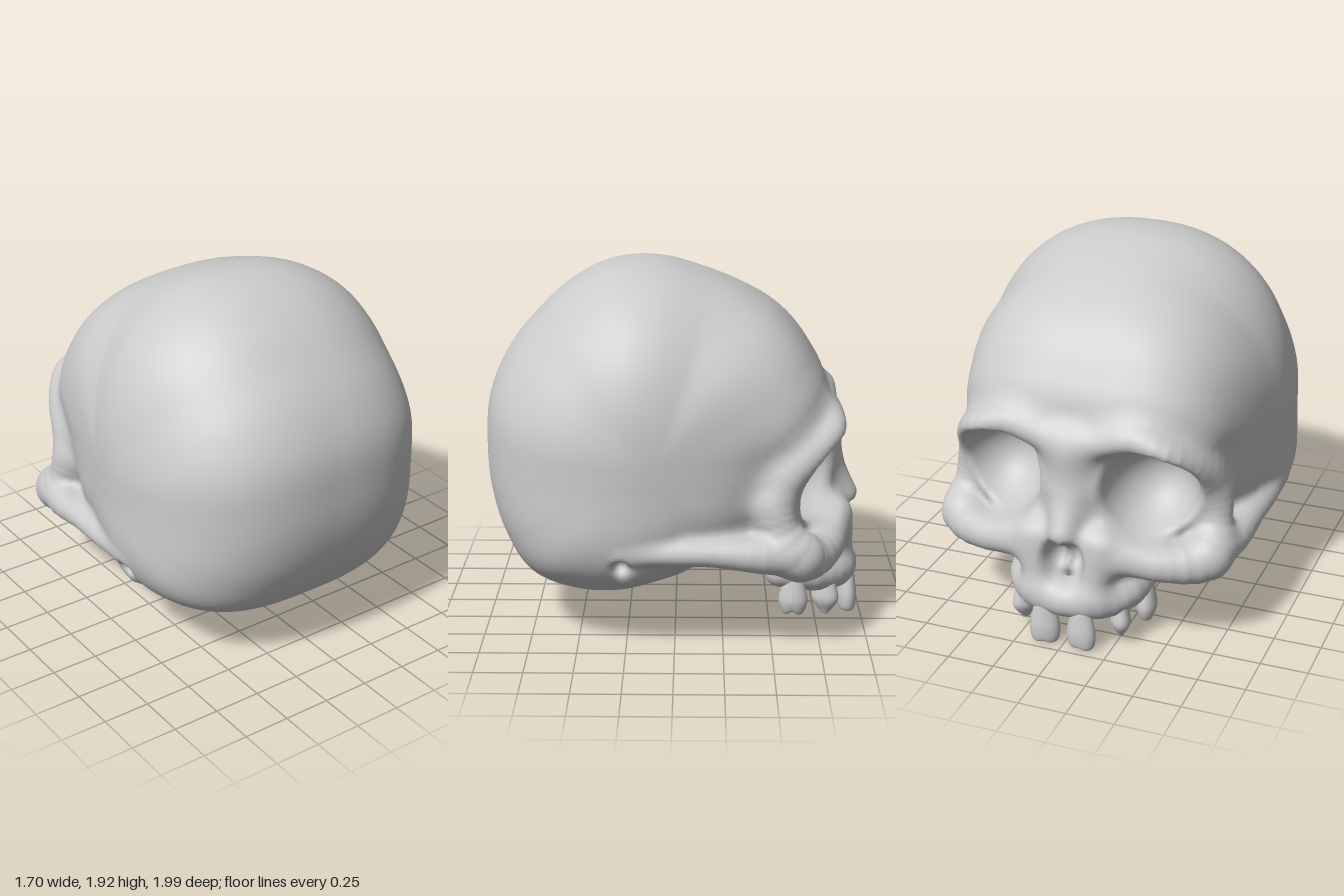
import * as THREE from 'three';

const { smoothstep, clamp, lerp } = THREE.MathUtils;

// Side outline of the braincase: radius every 15 degrees, from the top over the back
const OUTLINE = [0.925, 0.938, 0.92, 0.9, 0.905, 0.91, 0.9, 0.915, 0.94, 0.96, 0.895, 0.815,
  0.74, 0.7, 0.66, 0.68, 0.7, 0.74, 0.8, 0.93, 0.93, 0.92, 0.9, 0.9];

// Bones as chains of [x, y, z, radius], mirrored through x; blend softens the joint
const BONES = {
  temple: { blend: 0.12, chain: [[0.47, 1.08, -0.48, 0.16], [0.52, 0.8, -0.4, 0.14]] },
  templeBase: { blend: 0.1, chain: [[0.6, 0.54, -0.42, 0.1], [0.69, 0.56, -0.08, 0.08]] },
  brow: { blend: 0.14, chain: [[0, 1.08, -0.805, 0.06], [0.16, 1.12, -0.815, 0.055], [0.34, 1.16, -0.82, 0.05],
    [0.5, 1.12, -0.81, 0.055], [0.6, 1.02, -0.7, 0.06], [0.65, 0.9, -0.57, 0.06], [0.665, 0.77, -0.51, 0.06]] },
  cheek: { blend: 0.09, chain: [[0.665, 0.77, -0.51, 0.06], [0.68, 0.65, -0.54, 0.085], [0.665, 0.505, -0.64, 0.125],
    [0.52, 0.49, -0.76, 0.095], [0.3, 0.52, -0.82, 0.09]] },
  arch: { blend: 0.06, chain: [[0.68, 0.52, -0.62, 0.11], [0.745, 0.535, -0.45, 0.09], [0.775, 0.555, -0.2, 0.065],
    [0.795, 0.555, 0.05, 0.05], [0.78, 0.55, 0.26, 0.035]] },
  nose: { blend: 0.12, chain: [[0, 1.08, -0.77, 0.08], [0, 0.86, -0.805, 0.065], [0, 0.65, -0.92, 0.055]] },
  toothPillar: { blend: 0.08, chain: [[0.15, 0.32, -0.875, 0.08], [0.18, 0.58, -0.855, 0.08]] },
  gum: { blend: 0.07, chain: [[0, 0.26, -0.893, 0.095], [0.17, 0.26, -0.855, 0.095], [0.27, 0.28, -0.73, 0.1], [0.3, 0.3, -0.56, 0.09]] },
  ear: { blend: 0.05, chain: [[0.74, 0.46, 0.2, 0.04], [0.72, 0.43, 0.24, 0.05]] },
};

// Each chain rounded into a smooth path
const PATHS = Object.values(BONES).map(({ blend, chain }) => {
  const curve = new THREE.CatmullRomCurve3(chain.map(p => new THREE.Vector3(...p)));
  const last = chain.length - 1, count = last * 3;
  const path = Array.from({ length: count + 1 }, (_, i) => {
    const k = Math.min(last - 1, Math.floor(i / 3));
    return [...curve.getPoint(i / count).toArray(), lerp(chain[k][3], chain[k + 1][3], i / 3 - k)];
  });
  return { blend, path };
});

// Rounded masses as [x, y, z, rx, ry, rz]
const MASSES = [
  [0, 0.85, -0.64, 0.3, 0.33, 0.22],     // between the eye sockets
  [0.38, 0.82, -0.5, 0.28, 0.34, 0.25],  // around the eye socket
  [0, 0.55, -0.62, 0.47, 0.24, 0.3],     // upper jaw
  [0, 0.6, -0.45, 0.32, 0.22, 0.33],     // skull base behind the jaw
];
const HOLLOWS = [
  [0.415, 0.86, -0.82, 0.25, 0.25, 0.36],  // eye socket
  [0.04, 0.49, -0.98, 0.07, 0.11, 0.16],   // nose opening
  [0, 0.17, 0.15, 0.22, 0.11, 0.22],       // hollow under the skull
  [0.8, 0.49, 0.27, 0.05, 0.035, 0.035],   // ear hole
];

// Distance to a tapering rod
function rod(x, y, z, a, b) {
  const bx = b[0] - a[0], by = b[1] - a[1], bz = b[2] - a[2];
  const px = x - a[0], py = y - a[1], pz = z - a[2];
  const t = Math.min(1, Math.max(0, (px * bx + py * by + pz * bz) / (bx * bx + by * by + bz * bz)));
  const dx = px - bx * t, dy = py - by * t, dz = pz - bz * t;
  return Math.sqrt(dx * dx + dy * dy + dz * dz) - (a[3] + (b[3] - a[3]) * t);
}

// Approximate distance to an ellipsoid
function ellipsoid(x, y, z, e) {
  const px = (x - e[0]) / e[3], py = (y - e[1]) / e[4], pz = (z - e[2]) / e[5];
  const k = Math.sqrt(px * px + py * py + pz * pz);
  const qx = px / e[3], qy = py / e[4], qz = pz / e[5];
  return k * (k - 1) / (Math.sqrt(qx * qx + qy * qy + qz * qz) + 1e-6);
}

// Smooth union and smooth cut
function join(a, b, k) {
  const h = Math.max(k - Math.abs(a - b), 0) / k;
  return Math.min(a, b) - h * h * k * 0.25;
}
const cut = (a, b, k) => -join(-a, b, k);

// Smooth radius of the side outline, in 720ths of a turn
const RADII = Array.from({ length: 721 }, (_, k) => {
  const n = OUTLINE.length, f = (k / 720) * n;
  const i = Math.floor(f), t = f - i;
  const [a, b, c, d] = [-1, 0, 1, 2].map(o => OUTLINE[(i + o + n) % n]);
  return b + 0.5 * t * (c - a + t * (2 * a - 5 * b + 4 * c - d + t * (3 * (b - c) + d - a)));
});

// Braincase: the side outline swelled sideways, rounder on top and boxier at the front
function braincase(x, y, z) {
  const dy = y - 1, dz = z - 0.1;
  const turn = Math.atan2(dz, dy) / (Math.PI * 2);
  const f = (turn < 0 ? turn + 1 : turn) * 720, i = Math.min(719, Math.floor(f));
  const radius = RADII[i] + (RADII[i + 1] - RADII[i]) * (f - i);
  const r = Math.sqrt(dy * dy + dz * dz) + 1e-6;
  const n = 2.6 - 0.3 * smoothstep(dy / r, 0, 0.8) + 0.3 * smoothstep(-dy / r, 0, 0.8)
    + 0.9 * smoothstep(-dz / r, 0.3, 0.95);
  const width = (0.85 - 0.09 * smoothstep(-z, -0.3, 0.55)) * (1.08 - 0.08 * smoothstep(y, 0.3, 0.9));
  return (Math.pow(Math.pow(r / radius, n) + Math.pow(x / width, n), 1 / n) - 1) * 0.85;
}

// Whole bone: negative inside
function bone(px, y, z) {
  const x = Math.abs(px);
  let d = braincase(x, y, z);
  for (const m of MASSES) d = join(d, ellipsoid(x, y, z, m), 0.08);
  for (const { path, blend } of PATHS) {
    let near = Infinity;
    for (let i = 1; i < path.length; i++) near = Math.min(near, rod(x, y, z, path[i - 1], path[i]));
    d = join(d, near, blend);
  }
  for (const h of HOLLOWS) d = cut(d, ellipsoid(x, y, z, h), 0.035);
  return d;
}

// Skin over the bone: one vertex per grid cell the surface crosses, quads between them
function skullGeometry() {
  const step = 0.02, min = [-0.911, 0.07, -1.06], size = [92, 97, 106];
  const stride = [1, size[0], size[0] * size[1]];
  const value = new Float32Array(stride[2] * size[2]);
  const cell = new Int32Array(value.length);
  const positions = [], normals = [], indices = [];
  const eachPoint = (from, to, visit) => {
    for (let k = from; k < size[2] - to; k++)
      for (let j = from; j < size[1] - to; j++)
        for (let i = from; i < size[0] - to; i++) visit(i + j * stride[1] + k * stride[2], i, j, k);
  };
  eachPoint(0, 0, (id, i, j, k) => {
    value[id] = bone(min[0] + i * step, min[1] + j * step, min[2] + k * step);
  });

  const corners = Array.from({ length: 8 }, (_, c) => (c & 1) + ((c >> 1) & 1) * stride[1] + (c >> 2) * stride[2]);
  eachPoint(0, 1, (id, i, j, k) => {
    const sum = [0, 0, 0];
    let hits = 0;
    for (let c = 0; c < 8; c++) {
      const v = value[id + corners[c]];
      for (let a = 0; a < 3; a++) {
        if ((c >> a) & 1) continue;
        const w = value[id + corners[c | (1 << a)]];
        if ((v < 0) === (w < 0)) continue;
        for (let b = 0; b < 3; b++) sum[b] += (c >> b) & 1;
        sum[a] += v / (v - w);
        hits++;
      }
    }
    if (!hits) return;
    cell[id] = positions.length / 3;
    const [x, y, z] = [i, j, k].map((g, a) => min[a] + (g + sum[a] / hits) * step);
    const e = 0.008;
    const slope = new THREE.Vector3(bone(x + e, y, z) - bone(x - e, y, z),
      bone(x, y + e, z) - bone(x, y - e, z), bone(x, y, z + e) - bone(x, y, z - e)).divideScalar(2 * e);
    const shift = clamp(bone(x, y, z) / Math.max(slope.length(), 0.3), -0.006, 0.006);
    slope.normalize();
    positions.push(x - slope.x * shift, y - slope.y * shift, z - slope.z * shift);
    normals.push(slope.x, slope.y, slope.z);
  });

  eachPoint(1, 1, id => {
    for (let a = 0; a < 3; a++) {
      const inside = value[id] < 0;
      if (inside === value[id + stride[a]] < 0) continue;
      const sb = stride[(a + 1) % 3], sc = stride[(a + 2) % 3];
      const q = [id, id - sb, id - sb - sc, id - sc].map(n => cell[n]);
      if (!inside) q.reverse();
      indices.push(q[0], q[1], q[2], q[0], q[2], q[3]);
    }
  });
  const geo = new THREE.BufferGeometry();
  geo.setAttribute('position', new THREE.Float32BufferAttribute(positions, 3));
  geo.setAttribute('normal', new THREE.Float32BufferAttribute(normals, 3));
  return geo.setIndex(indices);
}

// Tooth: turned crown and root of unit size, tip at y = 0; cusps split the tip in two
function toothGeometry(tip, cusps) {
  const profile = new THREE.SplineCurve([[0, 0], [tip * 0.6, 0.01], [tip, 0.09], [1, 0.35], [0.85, 0.65], [0.6, 1]]
    .map(p => new THREE.Vector2(...p)));
  const geo = new THREE.LatheGeometry(profile.getPoints(20), 24);
  const pos = geo.attributes.position;
  for (let i = 0; i < pos.count; i++) {
    const y = pos.getY(i);
    pos.setY(i, y + cusps * Math.exp(-Math.pow(pos.getX(i) / 0.3, 2)) * Math.max(0, 1 - y * 2));
  }
  geo.computeVertexNormals();
  return geo;
}

export function createModel() {
  const group = new THREE.Group();
  const material = new THREE.MeshStandardMaterial({ color: 0xcccccc });
  const skull = new THREE.Mesh(skullGeometry(), material);
  skull.name = 'skull';
  group.add(skull);
  // Teeth of one side: place, half width, height, half depth, turn about y
  const kinds = [
    { name: 'Incisor', at: [0.1, 0.005, -0.93], size: [0.08, 0.25, 0.052], turn: 0.15, tip: 0.88, cusps: 0.05 },
    { name: 'Canine', at: [0.265, 0.045, -0.8], size: [0.075, 0.24, 0.052], turn: 1.05, tip: 0.45, cusps: 0 },
    { name: 'Molar', at: [0.345, 0.065, -0.625], size: [0.078, 0.23, 0.055], turn: 1.4, tip: 0.75, cusps: 0.1 },
  ];
  for (const k of kinds) {
    const geo = toothGeometry(k.tip, k.cusps);
    for (const side of [1, -1]) {
      const tooth = new THREE.Mesh(geo, material);
      tooth.name = (side > 0 ? 'left' : 'right') + k.name;
      tooth.position.set(side * k.at[0], k.at[1], k.at[2]);
      tooth.scale.set(...k.size);
      tooth.rotation.y = side * k.turn;
      group.add(tooth);
    }
  }
  return group;
}
